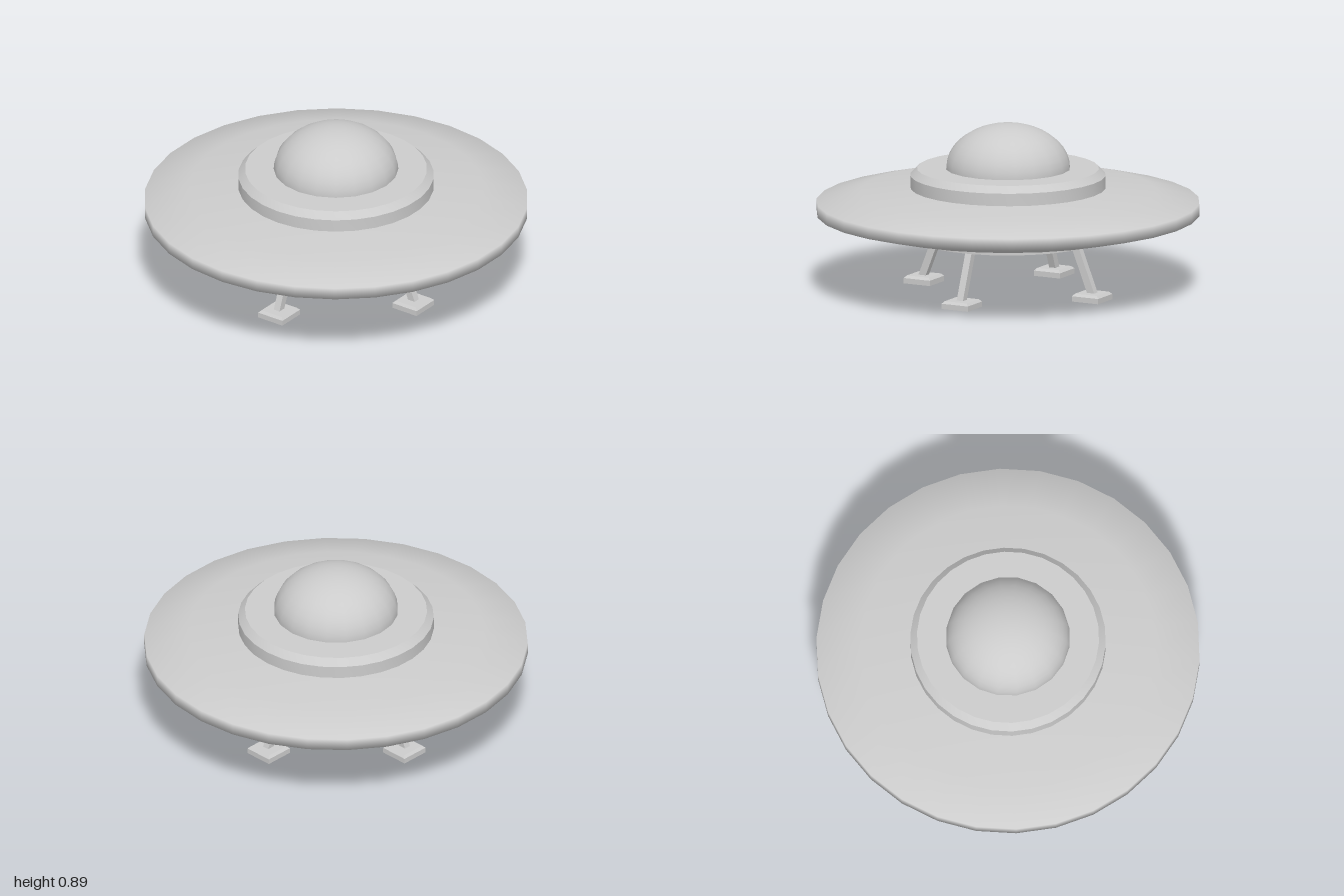
import * as THREE from 'three';
import { toCreasedNormals } from 'three/addons/utils/BufferGeometryUtils.js';

const SIDES = 30;
const material = new THREE.MeshStandardMaterial({ color: 0xcccccc });

function addMesh(parent, name, geometry) {
  const mesh = new THREE.Mesh(geometry, material);
  mesh.name = name;
  parent.add(mesh);
  return mesh;
}

// Turned part from [radius, height] pairs, listed from the underside outwards and up
function turned(profile) {
  const points = profile.map(([r, y]) => new THREE.Vector2(r, y));
  return new THREE.LatheGeometry(points, SIDES, Math.PI / 2);
}

// Square block whose top may be narrower than its base
function squareBlock(topWidth, baseWidth, height) {
  const g = new THREE.CylinderGeometry(topWidth / Math.SQRT2, baseWidth / Math.SQRT2, height, 4);
  return toCreasedNormals(g.rotateY(Math.PI / 4), 0.3);
}

// Slanted strut with a bevelled square foot, reaching out along +x
function createLeg() {
  const leg = new THREE.Group();
  leg.name = 'landingLeg';
  const foot = new THREE.Vector3(0.505, 0.03, 0);
  const hip = new THREE.Vector3(0.395, 0.31, 0);
  const strut = addMesh(leg, 'strut', new THREE.BoxGeometry(0.04, foot.distanceTo(hip), 0.037));
  strut.position.copy(foot).add(hip).multiplyScalar(0.5);
  strut.rotation.z = Math.atan2(foot.x - hip.x, hip.y - foot.y);
  addMesh(leg, 'footPad', squareBlock(0.156, 0.156, 0.028)).position.set(0.5, 0.014, 0);
  addMesh(leg, 'footBevel', squareBlock(0.13, 0.156, 0.013)).position.set(0.5, 0.0345, 0);
  return leg;
}

export function createModel() {
  const model = new THREE.Group();
  model.name = 'flyingSaucer';

  // Wide smooth disc with a narrow rim
  addMesh(model, 'hull', turned([
    [0.45, 0.327], [0.77, 0.358], [1, 0.415], [1, 0.478], [0.77, 0.535], [0.4, 0.562],
  ]));

  // Underside plate with a bevelled central recess
  addMesh(model, 'bellyPlate', toCreasedNormals(turned([
    [0, 0.43], [0.257, 0.43], [0.257, 0.32], [0.278, 0.292], [0.51, 0.292], [0.51, 0.345],
  ]), 0.5));

  // Raised collar beneath the dome
  addMesh(model, 'collar', toCreasedNormals(turned([
    [0.51, 0.54], [0.51, 0.62], [0.475, 0.655], [0, 0.655],
  ]), 0.5));

  // Flattened half-sphere canopy
  const dome = addMesh(model, 'dome',
    new THREE.SphereGeometry(0.325, 20, 10, 0, Math.PI * 2, 0, Math.PI / 2));
  dome.scale.y = 0.235 / 0.325;
  dome.position.y = 0.655;

  // Four legs, one on each axis
  for (let i = 0; i < 4; i++) {
    const leg = createLeg();
    leg.rotation.y = i * Math.PI / 2;
    model.add(leg);
  }
  return model;
}
